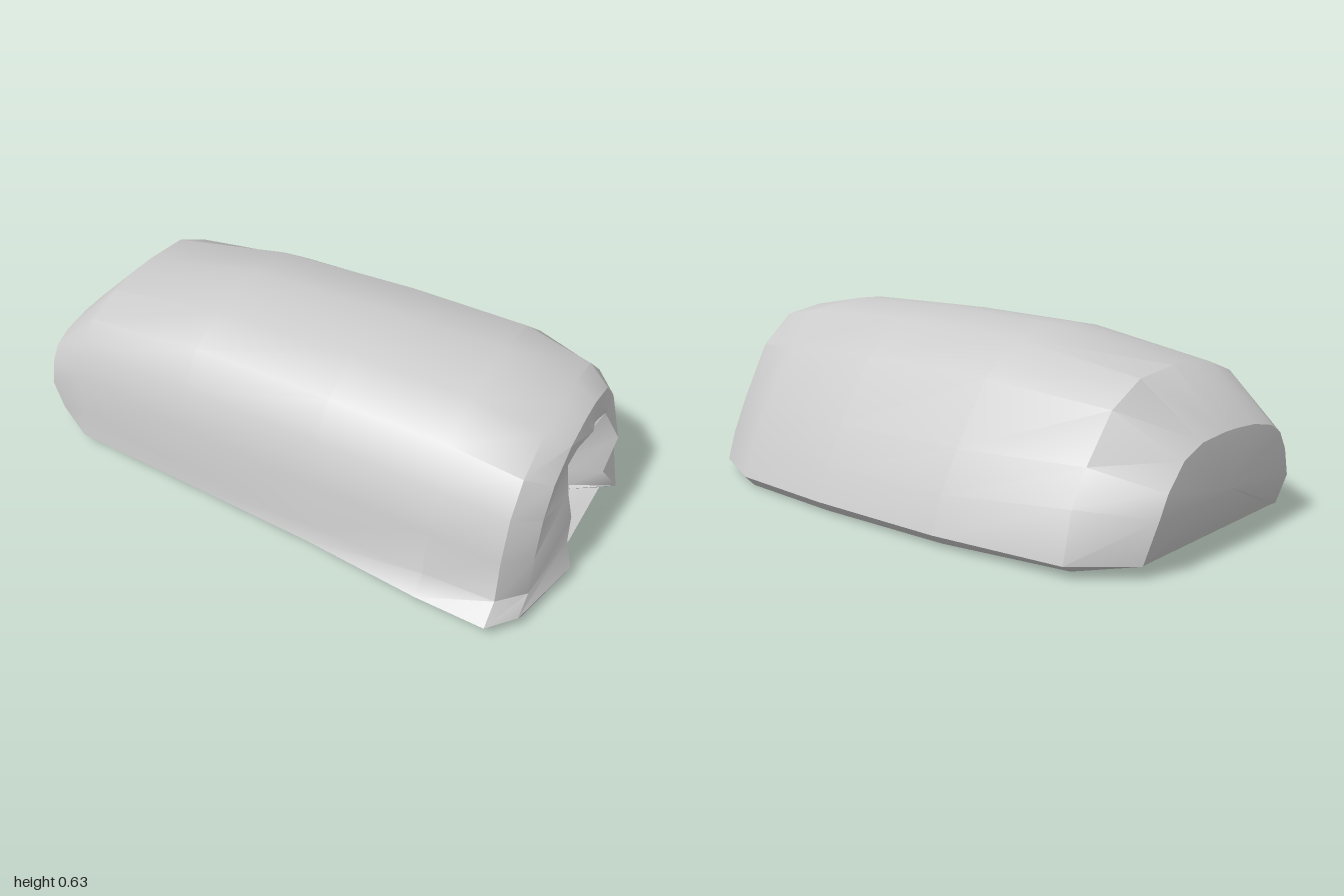
import * as THREE from 'three';
import { toCreasedNormals } from 'three/addons/utils/BufferGeometryUtils.js';

// Unit arch from back base over the crown to front base: [z fraction, y fraction]
const ARCH = [
  [-1, 0.06], [-0.93, 0.24], [-0.81, 0.45], [-0.59, 0.78], [-0.33, 0.96], [0, 1], [0.2, 0.99],
  [0.46, 0.95], [0.74, 0.83], [0.89, 0.66], [0.97, 0.42], [1, 0.16], [1, 0.06],
];

// Body stations: x, back z, front z, front base z, crown y, underside y, squareness
const STATIONS = [
  [-0.97, 0.40, 0.39, 0.39, 0.36, 0.035, 0.5],
  [-0.78, 0.55, 0.47, 0.48, 0.54, 0.015, 0.3],
  [-0.32, 0.60, 0.505, 0.51, 0.62, 0.004, 0.05],
  [0.20, 0.605, 0.53, 0.545, 0.632, 0, 0],
  [0.62, 0.58, 0.54, 0.59, 0.625, 0, 0],
  [0.86, 0.47, 0.53, 0.60, 0.58, 0.004, 0],
  [0.935, 0.37, 0.44, 0.51, 0.53, 0.015, 0],
];

// Worn rim of the opening: [x, y, z], back base to front base
const RIM = [
  [1.0, 0.045, -0.21], [0.96, 0.13, -0.16], [0.985, 0.28, -0.178], [0.94, 0.40, -0.13],
  [0.955, 0.45, -0.08], [0.94, 0.447, -0.01], [0.955, 0.46, 0.05], [0.935, 0.44, 0.13],
  [0.925, 0.40, 0.175], [0.95, 0.32, 0.21], [0.975, 0.25, 0.228], [0.97, 0.13, 0.21],
  [1.0, 0.045, 0.235],
];

function bodyRing([x, zb, zf, baseF, top, low, square], index) {
  const ring = ARCH.map(([z, y], j) => {
    const base = j === 0 || j === 12;
    const py = base ? 0.04 : top * Math.pow(y, 1 - square);
    const pz = j === 12 ? baseF : z * (z < 0 ? zb : zf);
    // the closed end leans in at its foot and bulges slightly at mid height
    const px = index ? x : base ? -0.95 : -0.97 - 0.025 * (1 - py / top);
    return [px, py, pz];
  });
  const lx = index ? x : -0.94;
  ring.push([lx, low, baseF * 0.93], [lx, low, -zb * 0.93]);
  return ring;
}

// Round-headed tunnel ring
function tunnelRing(x, half, crown) {
  const ring = [];
  const spring = crown - half;
  for (let j = 0; j < 13; j++) {
    if (j < 3) ring.push([x, 0.03 + (spring - 0.03) * j / 3, 0.02 - half]);
    else if (j > 9) ring.push([x, 0.03 + (spring - 0.03) * (12 - j) / 3, 0.02 + half]);
    else {
      const a = Math.PI * (j - 3) / 6;
      ring.push([x, spring + half * Math.sin(a), 0.02 - half * Math.cos(a)]);
    }
  }
  ring.push([x, 0.025, 0.02 + half * 0.9], [x, 0.025, 0.02 - half * 0.9]);
  return ring;
}

// Skin closed rings and close both ends with fans
function loft(rings, startCentre, endCentre) {
  const n = rings[0].length;
  const last = (rings.length - 1) * n;
  const points = [...rings.flat(), startCentre, endCentre];
  const s = points.length - 2, e = s + 1;
  const index = [];
  for (let j = 0; j < n; j++) {
    const k = (j + 1) % n;
    for (let i = 0; i < rings.length - 1; i++) {
      const a = i * n + j, b = i * n + k, c = a + n, d = b + n;
      index.push(a, b, c, b, d, c);
    }
    index.push(s, k, j, e, last + j, last + k);
  }
  const geometry = new THREE.BufferGeometry();
  geometry.setAttribute('position', new THREE.Float32BufferAttribute(points.flat(), 3));
  geometry.setIndex(index);
  return toCreasedNormals(geometry, 0.6);
}

export function createModel() {
  const group = new THREE.Group();
  group.name = 'tunnelShelter';

  const rim = [...RIM, [0.95, 0.03, 0.21], [0.95, 0.03, -0.19]];
  const rings = [
    ...STATIONS.map(bodyRing),
    rim,
    tunnelRing(0.85, 0.165, 0.41),
    tunnelRing(0.64, 0.12, 0.315),
  ];

  // Rounded shell running into the recessed opening
  const shell = new THREE.Mesh(
    loft(rings, [-1, 0.19, 0], [0.6, 0.15, 0.02]),
    new THREE.MeshStandardMaterial({ color: 0xcccccc }),
  );
  shell.name = 'shelterShell';
  group.add(shell);
  return group;
}
